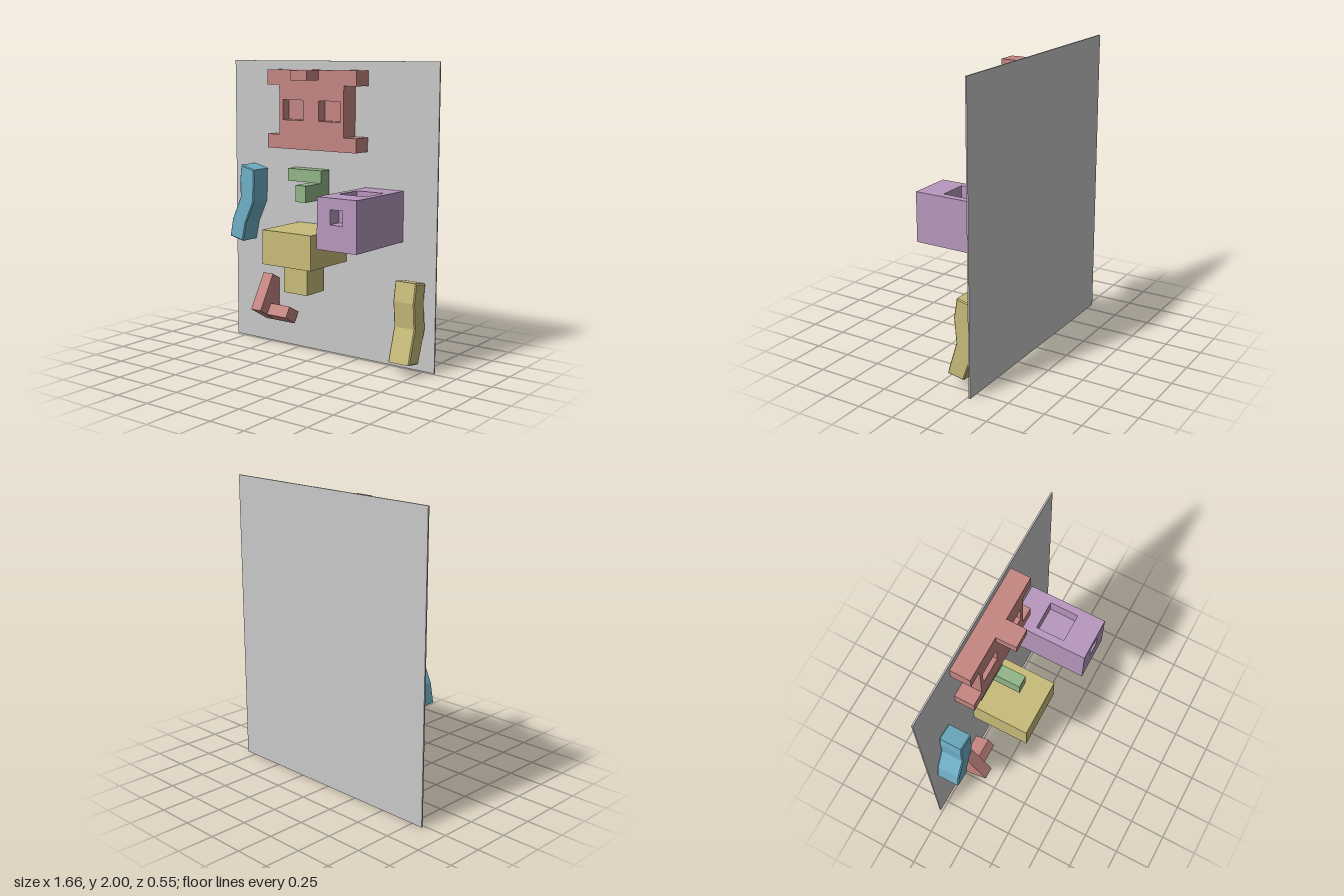
import * as THREE from 'three';

const mat = (name, color) => Object.assign(new THREE.MeshStandardMaterial({ color }), { name });

const WALL = -0.265; // front surface of the back board

// Closed shape from [a, b] points, with optional rectangular holes [x0, x1, y0, y1]
function outline(points, holes = []) {
  const shape = new THREE.Shape(points.map(([a, b]) => new THREE.Vector2(a, b)));
  for (const h of holes) shape.holes.push(new THREE.Path(rect(...h).map(([a, b]) => new THREE.Vector2(a, b))));
  return shape;
}

function rect(x0, x1, y0, y1) {
  return [[x0, y0], [x1, y0], [x1, y1], [x0, y1]];
}

// Extrude along z between z0 and z1, bevelled inward
function extrudeZ(shape, z0, z1, bevel = 0) {
  const g = new THREE.ExtrudeGeometry(shape, {
    depth: z1 - z0 - 2 * bevel, bevelEnabled: bevel > 0, bevelSize: bevel,
    bevelThickness: bevel, bevelOffset: -bevel, bevelSegments: 1,
  });
  return g.translate(0, 0, z0 + bevel);
}

// Extrude a (z, y) profile along x between x0 and x1
function extrudeX(shape, x0, x1, bevel = 0) {
  return extrudeZ(shape, -x1, -x0, bevel).rotateY(-Math.PI / 2);
}

// Extrude an (x, -z) shape upward between y0 and y1
function extrudeY(shape, y0, y1) {
  return extrudeZ(shape, y0, y1).rotateX(-Math.PI / 2);
}

function box(x0, x1, y0, y1, z0, z1) {
  return new THREE.BoxGeometry(x1 - x0, y1 - y0, z1 - z0)
    .translate((x0 + x1) / 2, (y0 + y1) / 2, (z0 + z1) / 2);
}

export function createModel() {
  const model = new THREE.Group();
  const grey = mat('board grey', 0xc8c8c8);
  const red = mat('dusty red', 0xc48682);
  const khaki = mat('khaki', 0xc8bc7a);
  const purple = mat('mauve', 0xb898be);
  const green = mat('sage green', 0x92b688);
  const blue = mat('sky blue', 0x70b0c8);

  function part(name, material, ...geometries) {
    const group = new THREE.Group();
    group.name = name;
    geometries.forEach((g, i) => {
      const mesh = new THREE.Mesh(g, material);
      mesh.name = `${name}${i + 1}`;
      group.add(mesh);
    });
    model.add(group);
  }

  // Back board
  part('backBoard', grey, box(-0.83, 0.83, 0, 2, -0.275, WALL));

  // Large notched hold with two pockets and a ledge
  const notched = [
    [-0.43, 1.41], [0.3, 1.41], [0.3, 1.505], [0.2, 1.505], [0.2, 1.84], [0.3, 1.84],
    [0.3, 1.94], [-0.43, 1.94], [-0.43, 1.84], [-0.33, 1.84], [-0.33, 1.505], [-0.43, 1.505],
  ];
  const pockets = [[-0.3, -0.13, 1.605, 1.74], [0, 0.17, 1.605, 1.74]];
  part('notchedHold', red,
    extrudeZ(outline(notched), WALL, -0.2),
    extrudeZ(outline(notched, pockets), -0.2, -0.13),
    box(-0.13, 0, 1.875, 1.94, -0.13, 0.005));

  // Crooked bar on the model's right
  part('sideCrookedBar', blue, extrudeZ(outline([
    [-0.655, 1.277], [-0.537, 1.248], [-0.545, 1.02], [-0.617, 0.865], [-0.645, 0.735],
    [-0.762, 0.762], [-0.738, 0.888], [-0.665, 1.045], [-0.665, 1.19],
  ]), WALL, -0.105, 0.007));

  // Crooked bar on the model's left, bending outward
  part('frontCrookedBar', khaki, extrudeX(outline([
    [-0.137, 0.61], [-0.255, 0.59], [-0.238, 0.46], [-0.26, 0.29], [-0.21, 0.15],
    [-0.182, 0.07], [-0.063, 0.088], [-0.083, 0.16], [-0.13, 0.31], [-0.115, 0.48],
  ]), 0.603, 0.76, 0.007));

  // Green stepped hold
  part('steppedHold', green,
    box(-0.29, -0.01, 1.187, 1.272, WALL, -0.17),
    box(-0.095, -0.01, 1.075, 1.187, WALL, 0));

  // Block with a pocket in its front and one in its top
  const topHole = [0.33, 0.53, -0.1, 0.1];
  part('pocketBlock', purple,
    extrudeZ(outline(rect(0.282, 0.58, 0.84, 1.173), [[0.382, 0.478, 1.005, 1.1]]), 0.175, 0.275),
    box(0.282, 0.58, 0.84, 1.073, WALL, 0.175),
    extrudeY(outline(rect(0.282, 0.58, -0.175, -WALL), [topHole]), 1.073, 1.173));

  // Box with a smaller block hanging below it
  part('hangingBlock', khaki,
    box(-0.265, 0.135, 0.657, 0.89, WALL, 0.14),
    box(-0.165, 0.028, 0.46, 0.657, -0.155, 0.038));

  // Tilted L-shaped hold, cut off flush at the board
  part('tiltedHold', red,
    extrudeX(outline([[-0.19, 0.51], [WALL, 0.467], [WALL, 0.245], [-0.22, 0.17], [-0.048, 0.27]]), -0.525, -0.44),
    extrudeX(outline([[-0.163, 0.302], [WALL, 0.245], [-0.22, 0.17], [-0.12, 0.23]]), -0.44, -0.273));

  return model;
}
